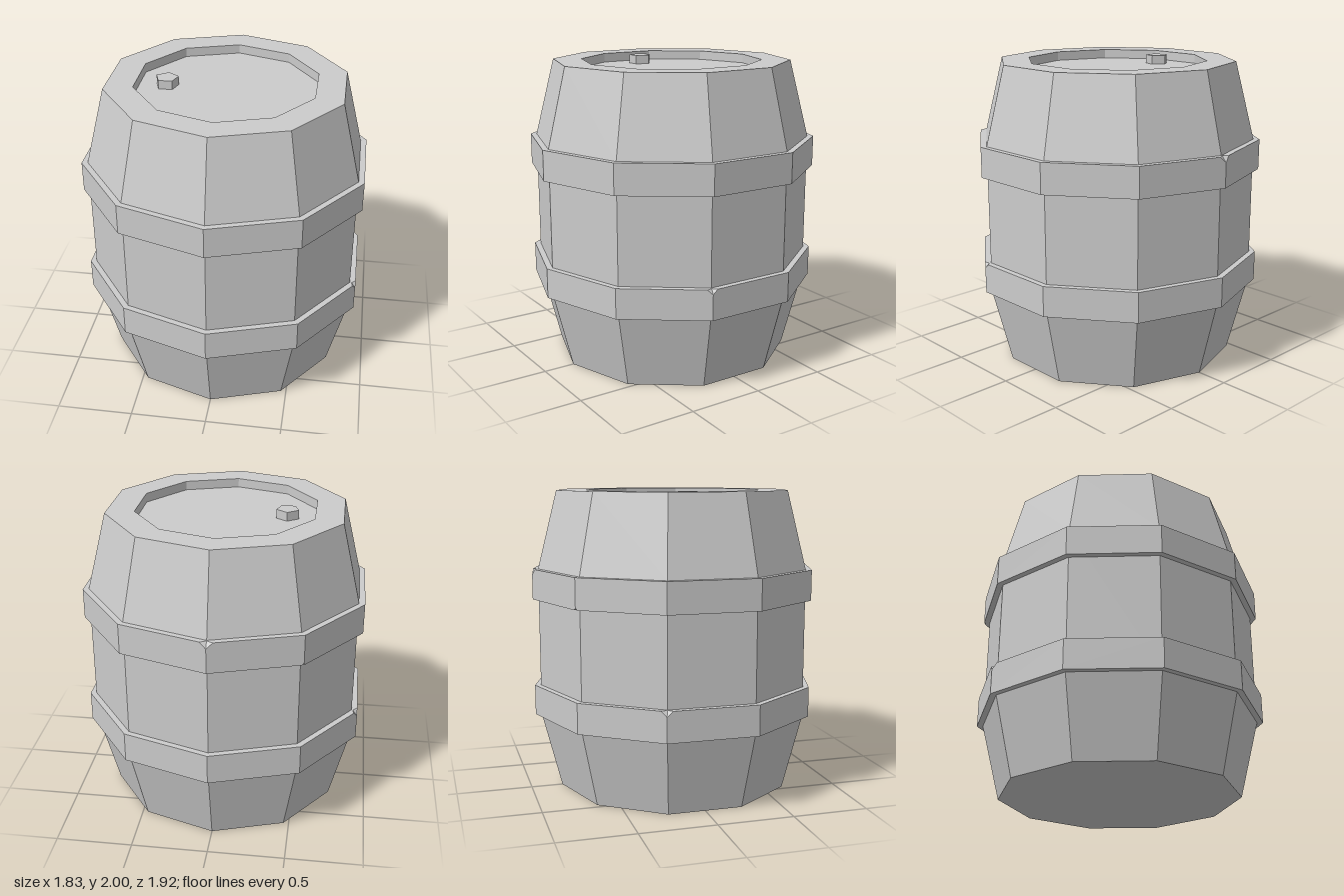
import * as THREE from 'three';

const SIDES = 10;
const material = new THREE.MeshStandardMaterial({ color: 0xcccccc, flatShading: true });

function makeMesh(name, geometry) {
  const mesh = new THREE.Mesh(geometry, material);
  mesh.name = name;
  return mesh;
}

// Ten-sided hoop; each notch { corner, top, size } chips one outer corner.
function hoopGeometry(y0, y1, inner, outer, notches) {
  const positions = [];
  const point = (i, r, y) => {
    const a = (i / SIDES) * Math.PI * 2;
    return new THREE.Vector3(Math.sin(a) * r, y, Math.cos(a) * r);
  };

  const addPolygon = (pts, flip = false) => {
    const p = flip ? [...pts].reverse() : pts;
    const list = p.filter((v, k) => v.distanceTo(p[(k + 1) % p.length]) > 1e-6);
    for (let k = 1; k < list.length - 1; k++) {
      for (const v of [list[0], list[k], list[k + 1]]) positions.push(v.x, v.y, v.z);
    }
  };

  // Points around an outer corner: before, after, along the upright edge, inward
  const corner = (i, top) => {
    const notch = notches.find((n) => n.corner === i % SIDES && n.top === top);
    const size = notch ? notch.size : 0;
    const y = top ? y1 : y0;
    const v = point(i, outer, y);
    const toward = (j) => v.clone().add(point(j, outer, y).sub(v).setLength(size));
    return {
      before: toward(i - 1),
      after: toward(i + 1),
      upright: v.clone().setY(y + (top ? -size : size) * 0.9),
      inward: point(i, outer - size * 0.8, y),
    };
  };

  for (let i = 0; i < SIDES; i++) {
    const t0 = corner(i, true), t1 = corner(i + 1, true);
    const b0 = corner(i, false), b1 = corner(i + 1, false);
    // Outer wall
    addPolygon([b0.upright, b0.after, b1.before, b1.upright,
      t1.upright, t1.before, t0.after, t0.upright]);
    // Upper and lower rims, with the chipped corners
    for (const [c0, c1, y, flip] of [[t0, t1, y1, false], [b0, b1, y0, true]]) {
      addPolygon([c0.inward, c0.after, c1.before, c1.inward,
        point(i + 1, inner, y), point(i, inner, y)], flip);
      addPolygon([c0.before, c0.upright, c0.inward], flip);
      addPolygon([c0.upright, c0.after, c0.inward], flip);
    }
  }
  const geometry = new THREE.BufferGeometry();
  geometry.setAttribute('position', new THREE.Float32BufferAttribute(positions, 3));
  geometry.computeVertexNormals();
  return geometry;
}

export function createModel() {
  const group = new THREE.Group();
  group.name = 'barrel';

  // Body with a recessed lid
  const profile = [
    [0, 0], [0.79, 0], [0.92, 0.51], [0.92, 1.49],
    [0.79, 2], [0.6, 2], [0.6, 1.94], [0, 1.94],
  ].map(([r, y]) => new THREE.Vector2(r, y));
  const body = new THREE.LatheGeometry(profile, SIDES).toNonIndexed();
  body.computeVertexNormals();
  group.add(makeMesh('body', body));

  // Hoops with small chips
  group.add(makeMesh('lowerHoop', hoopGeometry(0.51, 0.71, 0.9, 0.96, [
    { corner: 2, top: true, size: 0.035 },
    { corner: 7, top: true, size: 0.04 },
  ])));
  group.add(makeMesh('upperHoop', hoopGeometry(1.29, 1.49, 0.9, 0.96, [
    { corner: 5, top: true, size: 0.042 },
    { corner: 6, top: false, size: 0.015 },
  ])));

  // Five-sided bung on the lid
  const bung = makeMesh('bung', new THREE.CylinderGeometry(0.076, 0.076, 0.06, 5));
  bung.position.set(-0.39, 1.968, 0);
  bung.rotation.y = Math.PI;
  group.add(bung);

  return group;
}
